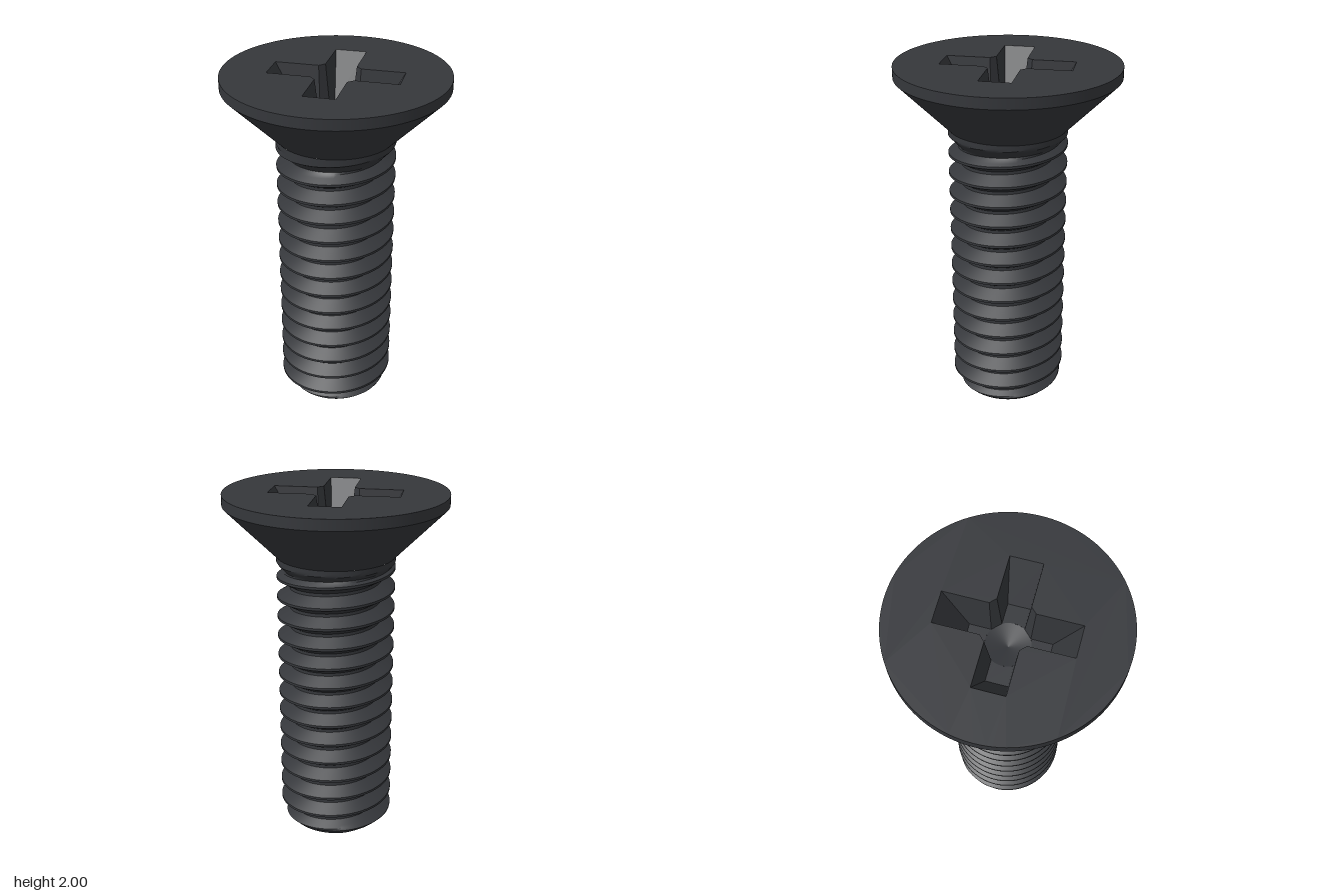
import * as THREE from 'three';
import { toCreasedNormals } from 'three/addons/utils/BufferGeometryUtils.js';

const material = new THREE.MeshStandardMaterial({ color: 0x35373b });

const TOP = 2, HEAD_R = 0.62, NECK_Y = 1.65;
const PITCH = 0.1167, CREST_R = 0.333, ROOT_R = 0.26, CREST_Y = 0.093;
const FLOOR_Y = 1.75, DIP_R = 0.12;

function part(name, geometry, parent) {
  const mesh = new THREE.Mesh(geometry, material);
  mesh.name = name;
  parent.add(mesh);
  return mesh;
}

// Radius of the threaded shank at height y and angle t
function threadRadius(y, t) {
  const turn = (y - CREST_Y) / PITCH - t / (2 * Math.PI);
  const d = Math.abs(turn - Math.round(turn)); // 0 at crest, 0.5 at root
  const k = THREE.MathUtils.clamp((d - 0.06) / 0.365, 0, 1);
  let r = CREST_R - (CREST_R - ROOT_R) * k;
  r = Math.max(r, CREST_R - Math.max(0, 1.615 - y) * 0.9); // run-out below the head
  return Math.min(r, 0.275 + y, CREST_R);                  // chamfered tip
}

// Helical rows wound upward, clipped at the tip and the neck
function threadGeometry() {
  const steps = [0, 0.06, 0.15, 0.24, 0.33, 0.425, 0.5, 0.575, 0.67, 0.76, 0.85, 0.94];
  const segments = 96;
  const rows = [];
  for (let n = -2; n <= 14; n++) for (const s of steps) rows.push(n + s);
  const pos = [], index = [];
  for (let j = -1; j < rows.length; j++) {
    for (let i = 0; i <= segments; i++) {
      const t = (i / segments) * 2 * Math.PI;
      // The first row closes the tip at the axis
      const y = j < 0 ? 0
        : THREE.MathUtils.clamp(CREST_Y + PITCH * (rows[j] + t / (2 * Math.PI)), 0, NECK_Y);
      const r = j < 0 ? 0 : threadRadius(y, t);
      pos.push(r * Math.sin(t), y, r * Math.cos(t));
    }
  }
  const w = segments + 1;
  for (let j = 0; j < rows.length; j++) {
    for (let i = 0; i < segments; i++) {
      const a = j * w + i, b = a + 1, c = b + w, d = a + w;
      index.push(a, b, c, a, c, d);
    }
  }
  const g = new THREE.BufferGeometry();
  g.setAttribute('position', new THREE.Float32BufferAttribute(pos, 3));
  g.setIndex(index);
  return toCreasedNormals(g, 0.5);
}

// Cross outline with chamfered inner corners, counter-clockwise
function crossOutline(reach, half, corner) {
  const quarter = [[reach, -half], [reach, half], [corner, half], [half, corner]];
  const points = [];
  for (let q = 0; q < 4; q++) {
    for (const [x, y] of quarter) {
      points.push(new THREE.Vector2(x, y).rotateAround(new THREE.Vector2(), q * Math.PI / 2));
    }
  }
  return points;
}

// Tapered walls between the upper and lower cross outlines, facing inward
function recessWalls(upper, lower) {
  const pos = [];
  const n = upper.length;
  const put = (p, y) => pos.push(p.x, y, -p.y);
  for (let i = 0; i < n; i++) {
    const k = (i + 1) % n;
    put(upper[i], TOP); put(upper[k], TOP); put(lower[k], FLOOR_Y);
    put(upper[i], TOP); put(lower[k], FLOOR_Y); put(lower[i], FLOOR_Y);
  }
  const g = new THREE.BufferGeometry();
  g.setAttribute('position', new THREE.Float32BufferAttribute(pos, 3));
  g.computeVertexNormals();
  return g;
}

function flat(shape, y, curveSegments) {
  return new THREE.ShapeGeometry(shape, curveSegments).rotateX(-Math.PI / 2).translate(0, y, 0);
}

export function createModel() {
  const model = new THREE.Group();
  model.name = 'countersunkScrew';

  part('threadedShank', threadGeometry(), model);

  // Head: cone and rim, then the flat top with its cross opening
  const head = new THREE.Group();
  head.name = 'head';
  model.add(head);
  const profile = (...pts) => pts.map(([r, y]) => new THREE.Vector2(r, y));
  part('headCone', new THREE.LatheGeometry(profile([CREST_R, NECK_Y], [HEAD_R, 1.94]), 128), head);
  part('headRim', new THREE.LatheGeometry(profile([HEAD_R, 1.94], [HEAD_R, TOP]), 128), head);

  const upper = crossOutline(0.36, 0.087, 0.118);
  const lower = crossOutline(0.22, 0.06, 0.104);
  const face = new THREE.Shape().absarc(0, 0, HEAD_R, 0, Math.PI * 2, false);
  face.holes.push(new THREE.Path(upper));
  part('headTop', flat(face, TOP, 64), head);

  // Drive recess: walls, four arm floors and a shallow conical centre
  const recess = new THREE.Group();
  recess.name = 'driveRecess';
  head.add(recess);
  part('recessWalls', recessWalls(upper, lower), recess);
  const arm = new THREE.Shape();
  arm.moveTo(0.22, -0.06);
  arm.lineTo(0.22, 0.06);
  arm.absarc(0, 0, DIP_R, Math.PI / 6, -Math.PI / 6, true);
  for (let q = 0; q < 4; q++) {
    part('recessArmFloor', flat(arm, FLOOR_Y, 12), recess).rotation.y = q * Math.PI / 2;
  }
  part('recessCentre',
    new THREE.LatheGeometry(profile([DIP_R, FLOOR_Y], [0, FLOOR_Y - 0.03]), 48), recess);

  return model;
}
